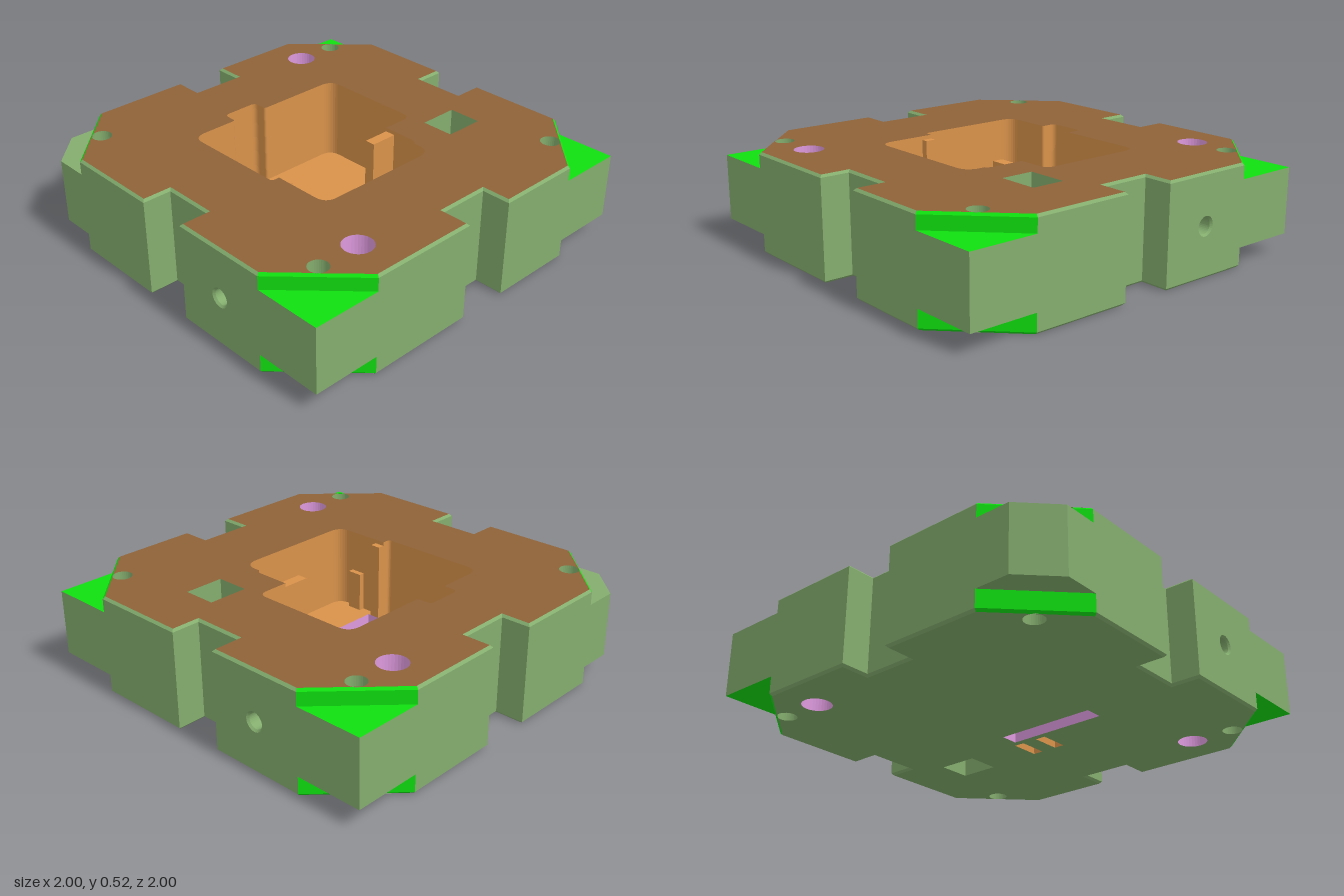
import * as THREE from 'three';

const mat = (color) => new THREE.MeshStandardMaterial({ color, side: THREE.DoubleSide, flatShading: true });
const SAGE = mat(0x84ad6e), BROWN = mat(0x8f6238), ORANGE = mat(0xd8924a), GREEN = mat(0x10e010), PINK = mat(0xdd99dd);
const H = 0.52, POCKET_LOW = 0.1, POCKET_HIGH = 0.44, FLOOR = 0.09;

// Block outline as [x, z]; c = corner cut, d = cut of the front right corner
function outline(c, d) {
  const pts = [[0.13, 1], [1 - c, 1], [1, 1 - c], [1, 0.08], [0.85, 0.08], [0.85, -0.19], [1, -0.19],
    [1, c - 1], [1 - c, -1], [0.13, -1], [0.13, -0.85], [-0.135, -0.85], [-0.135, -1], [c - 1, -1], [-1, c - 1],
    [-1, -0.14], [-0.85, -0.14], [-0.85, 0.13], [-1, 0.13], [-1, 1 - d], [d - 1, 1],
    [-0.135, 1], [-0.135, 0.85], [0.13, 0.85]];
  return pts.filter((p, i) => !i || p[0] !== pts[i - 1][0] || p[1] !== pts[i - 1][1]);
}

// Moves a closed outline inward by b with mitred corners
function inset(pts, b) {
  const n = pts.length;
  const normal = (p, q) => {
    const l = Math.hypot(q[0] - p[0], q[1] - p[1]);
    return [(q[1] - p[1]) / l, (p[0] - q[0]) / l];
  };
  return pts.map((p, i) => {
    const u = normal(pts[(i + n - 1) % n], p), v = normal(p, pts[(i + 1) % n]);
    const k = b / (1 + u[0] * v[0] + u[1] * v[1]);
    return [p[0] + k * (u[0] + v[0]), p[1] + k * (u[1] + v[1])];
  });
}

// Closed polygon with corners [x, z, radius]
function rounded(corners) {
  const shape = new THREE.Shape();
  const n = corners.length;
  const vec = (c) => new THREE.Vector2(c[0], c[1]);
  corners.forEach((c, i) => {
    const p = vec(c), r = c[2];
    const toward = (q) => p.clone().add(q.sub(p).setLength(r));
    const a = r ? toward(vec(corners[(i + n - 1) % n])) : p;
    if (i) shape.lineTo(a.x, a.y); else shape.moveTo(a.x, a.y);
    if (r) {
      const e = toward(vec(corners[(i + 1) % n]));
      shape.quadraticCurveTo(p.x, p.y, e.x, e.y);
    }
  });
  return shape.getPoints(8).map((p) => [p.x, p.y]);
}

const rect = (x0, x1, z0, z1) => [[x0, z0], [x1, z0], [x1, z1], [x0, z1]];
const circle = (x, z, r) => Array.from({ length: 32 }, (_, i) => {
  const t = i / 32 * Math.PI * 2;
  return [x + r * Math.cos(t), z + r * Math.sin(t)];
});

export function createModel() {
  const model = new THREE.Group();
  const add = (name, geometry, material) => {
    const mesh = new THREE.Mesh(geometry, material);
    mesh.name = name;
    model.add(mesh);
    return mesh;
  };
  const toShape = (pts) => new THREE.Shape(pts.map((p) => new THREE.Vector2(p[0], p[1])));

  // Horizontal sheet with holes
  function sheet(name, pts, y, material, holes = [], up = true) {
    const shape = toShape(pts);
    shape.holes = holes.map(toShape);
    const g = new THREE.ShapeGeometry(shape).rotateX(Math.PI / 2).translate(0, y, 0);
    if (up) {
      const idx = g.index.array;
      for (let i = 0; i < idx.length; i += 3) [idx[i], idx[i + 1]] = [idx[i + 1], idx[i]];
      g.computeVertexNormals();
    }
    return add(name, g, material);
  }

  // Wall between a lower and an upper outline, limited to the segments that pass keep
  function wall(name, low, y0, high, y1, material, keep = () => true) {
    const v = [];
    low.forEach((a, i) => {
      const j = (i + 1) % low.length, b = low[j], c = high[j], d = high[i];
      if (!keep(a, b)) return;
      const A = [a[0], y0, a[1]], B = [b[0], y0, b[1]], C = [c[0], y1, c[1]], D = [d[0], y1, d[1]];
      v.push(...A, ...B, ...C, ...A, ...C, ...D);
      });
    // outlines run clockwise seen from below, so swap corners to face outward
    for (let i = 0; i < v.length; i += 9) {
      for (let k = 0; k < 3; k++) [v[i + 3 + k], v[i + 6 + k]] = [v[i + 6 + k], v[i + 3 + k]];
    }
    const g = new THREE.BufferGeometry();
    g.setAttribute('position', new THREE.Float32BufferAttribute(v, 3));
    g.computeVertexNormals();
    add(name, g, material);
  }

  function box(name, x0, x1, y0, y1, z0, z1, material) {
    const g = new THREE.BoxGeometry(x1 - x0, y1 - y0, z1 - z0);
    return add(name, g.translate((x0 + x1) / 2, (y0 + y1) / 2, (z0 + z1) / 2), material);
  }

  // Openings
  const pinHoles = [[-1, -1], [1, -1], [-1, 1], [1, 1]].map(([x, z]) => circle(x * 0.783, z * 0.783, 0.05));
  const dowelHoles = [circle(-0.785, -0.56, 0.075), circle(0.78, 0.55, 0.075)];
  const window = rect(0.225, 0.4, -0.69, -0.48);
  const through = [...pinHoles, ...dowelHoles, window];
  const slots = [rect(0.105, 0.2, -0.155, 0.385), rect(0.235, 0.39, -0.185, -0.13), rect(0.235, 0.39, -0.045, 0.01)];
  const cavity = rounded([[-0.455, -0.475, 0.07], [0.13, -0.475, 0.05], [0.13, -0.3, 0], [0.32, -0.3, 0.02],
    [0.34, -0.28, 0], [0.445, -0.28, 0.08], [0.445, 0.42, 0.07], [0.13, 0.42, 0], [0.13, 0.465, 0.02],
    [-0.455, 0.465, 0.07], [-0.455, 0.2, 0.015], [-0.535, 0.2, 0.03], [-0.535, 0, 0.03], [-0.455, 0, 0.015]]);

  // Block: top, underside and outer walls with small edge bevels
  const cut = outline(0.35, 0.35), full = outline(0, 0.17);
  const bevel = 0.012, rim = inset(cut, bevel);
  const diagonal = (a, b) => Math.abs(a[0] - b[0]) > 0.01 && Math.abs(a[1] - b[1]) > 0.01;
  const straight = (a, b) => !diagonal(a, b);
  sheet('topFace', rim, H, BROWN, [...through, cavity]);
  sheet('underside', rim, 0, SAGE, [...through, ...slots], false);
  for (const [name, material, keep] of [['outerWall', SAGE, straight], ['pocketWall', GREEN, diagonal]]) {
    wall(name + 'LowerBevel', rim, 0, cut, bevel, material, keep);
    wall(name + 'Lower', cut, bevel, cut, POCKET_LOW, material, keep);
    wall(name + 'Upper', cut, POCKET_HIGH, cut, H - bevel, material, keep);
    wall(name + 'UpperBevel', cut, H - bevel, rim, H, material, keep);
  }

  // Middle band; the two drilled panels are made separately
  const drilled = (a, b) => Math.abs(a[1]) === 1 && a[1] === b[1] && (a[0] + b[0]) * a[1] > 0;
  wall('middleWall', full, POCKET_LOW, full, POCKET_HIGH, SAGE, (a, b) => !drilled(a, b));
  for (const turn of [0, Math.PI]) {
    const panel = toShape(rect(turn ? 0.135 : 0.13, 1, POCKET_LOW, POCKET_HIGH));
    panel.holes.push(toShape(circle(0.39, 0.26, 0.05)));
    add('drilledPanel', new THREE.ShapeGeometry(panel).translate(0, 0, 1).rotateY(turn), SAGE);
    const bore = [[0, 0.16], [0.04, 0.13], [0.04, 0.01], [0.05, 0]].map((p) => new THREE.Vector2(...p));
    add('sideBore', new THREE.LatheGeometry(bore, 32).rotateX(-Math.PI / 2)
      .translate(0.39, 0.26, 1).rotateY(turn), SAGE);
  }

  // Corner pocket floors, above and below
  for (const [sx, sz] of [[1, 1], [1, -1], [-1, -1], [-1, 1]]) {
    const clipped = sx < 0 && sz > 0;
    const tip = clipped ? [[-0.83, 1], [-1, 0.83]] : [[sx, sz]];
    const floor = [[sx * 0.65, sz], ...tip, [sx, sz * 0.65]];
    sheet('upperPocketFloor', floor, POCKET_HIGH, clipped ? SAGE : GREEN);
    sheet('lowerPocketCeiling', floor, POCKET_LOW, clipped ? SAGE : GREEN, [], false);
  }

  // Through holes
  pinHoles.forEach((h) => wall('pinHole', h, 0, h, H, SAGE));
  dowelHoles.forEach((h) => wall('dowelHole', h, 0, h, H, PINK));
  wall('window', window, 0, window, H, SAGE);

  // Cavity with slotted floor
  wall('cavityWall', cavity, FLOOR, cavity, H, ORANGE);
  sheet('cavityFloor', cavity, FLOOR, ORANGE, slots);
  slots.forEach((s, i) => wall('floorSlot', s, 0, s, FLOOR, i ? ORANGE : PINK));

  // Cavity fittings: divider posts, clips and tapered pedestal
  box('dividerPost', 0.13, 0.185, FLOOR, 0.5, -0.3, -0.155, ORANGE);
  box('dividerStub', 0.13, 0.185, FLOOR, 0.5, 0.385, 0.42, ORANGE);
  box('backClip', 0.27, 0.35, FLOOR, 0.3, -0.28, -0.25, ORANGE);
  box('frontClip', 0.27, 0.35, FLOOR, 0.3, 0.39, 0.42, ORANGE);
  box('sideClip', 0.415, 0.445, FLOOR, 0.3, 0.02, 0.1, ORANGE);
  const foot = rect(-0.25, -0.1, -0.03, 0.16), crown = rect(-0.23, -0.12, -0.015, 0.135);
  wall('pedestalSide', foot, FLOOR, crown, FLOOR + 0.05, ORANGE);
  sheet('pedestalTop', crown, FLOOR + 0.05, ORANGE);
  return model;
}
